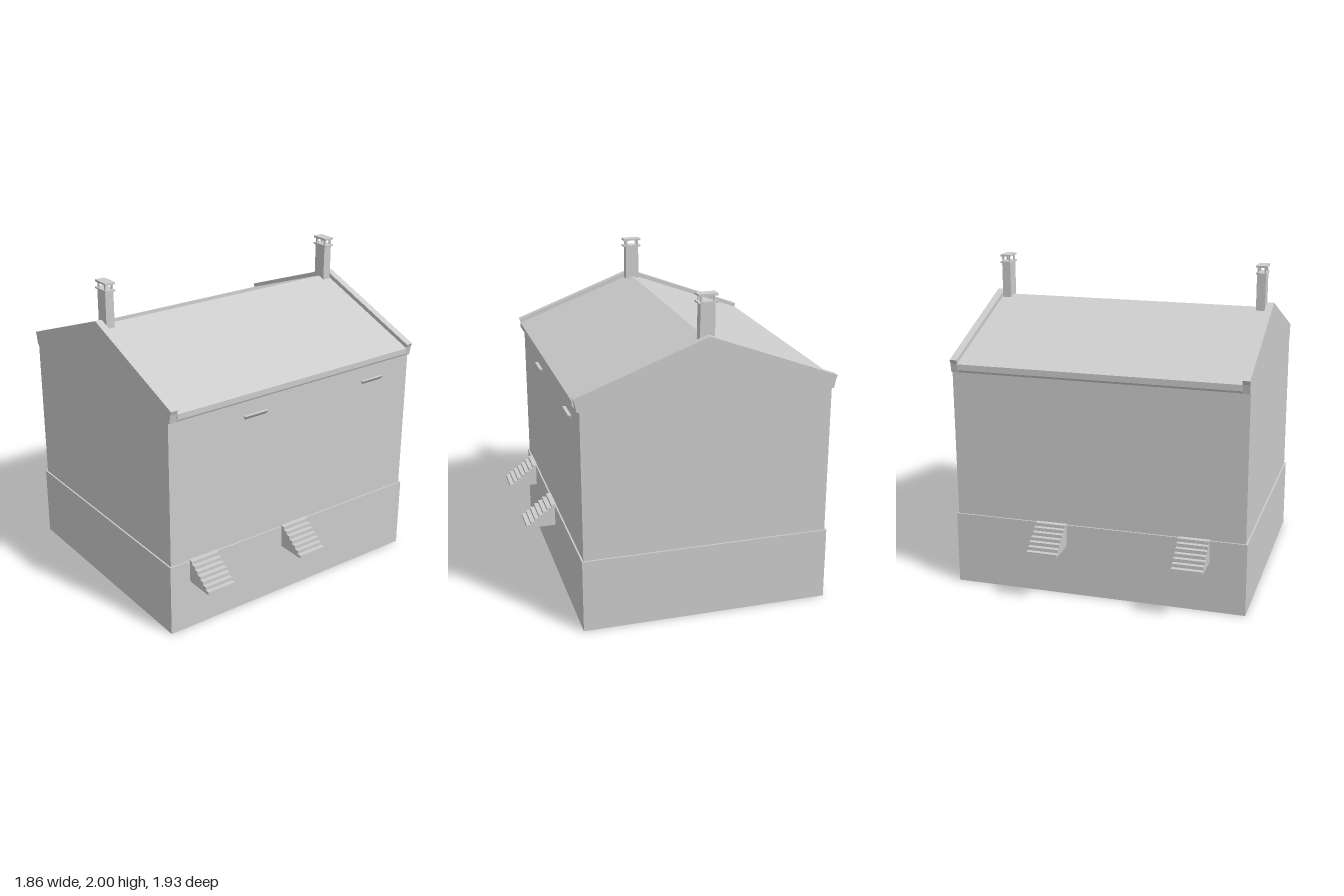
import * as THREE from 'three';

export function createModel() {
  const root = new THREE.Group();
  const stone = new THREE.MeshStandardMaterial({ color: 0xcccccc, side: THREE.DoubleSide });
  stone.name = 'pale grey stone';

  const add = (geometry, name, parent = root) => {
    const mesh = new THREE.Mesh(geometry, stone);
    mesh.name = name;
    parent.add(mesh);
    return mesh;
  };
  const box = (w, h, d, x, y, z, name, parent) =>
    add(new THREE.BoxGeometry(w, h, d).translate(x, y, z), name, parent);

  // Extrudes a (z, y) profile along x, from x0 to x1
  const alongX = (points, x0, x1) => {
    const shape = new THREE.Shape(points.map(([z, y]) => new THREE.Vector2(-z, y)));
    return new THREE.ExtrudeGeometry(shape, { depth: x1 - x0, bevelEnabled: false })
      .rotateY(Math.PI / 2).translate(x0, 0, 0);
  };
  // Completes a half profile by mirroring it front to back
  const symmetric = (half, apex) =>
    [...half, [0, apex], ...half.slice().reverse().map(([z, y]) => [-z, y])];

  // Plinth: thin open-bottomed ring of walls
  const rect = (C, w, d) => new C([[-w, -d], [w, -d], [w, d], [-w, d]]
    .map(([x, y]) => new THREE.Vector2(x, y)));
  const ring = rect(THREE.Shape, 0.93, 0.775);
  ring.holes.push(rect(THREE.Path, 0.92, 0.765));
  add(new THREE.ExtrudeGeometry(ring, { depth: 0.46, bevelEnabled: false })
    .rotateX(-Math.PI / 2), 'plinth');

  // Main walls with stepped cornice and pitched roof
  const body = [[0.765, 0.46], [0.765, 1.385], [0.775, 1.385], [0.782, 1.4],
    [0.787, 1.4], [0.787, 1.408], [0.797, 1.408], [0.797, 1.44]];
  add(alongX(symmetric(body, 1.735), -0.875, 0.875), 'wallsAndRoof');

  // Gable walls rising above the roof, with flared kneelers
  const gable = [[0.765, 0.46], [0.765, 1.385], [0.78, 1.385], [0.79, 1.44], [0.8, 1.465]];
  for (const x of [-0.92, 0.875]) {
    add(alongX(symmetric(gable, 1.765), x, x + 0.045), 'gableWall');
  }

  // Chimneys with open caps on four posts
  for (const side of [-1, 1]) {
    const chimney = new THREE.Group();
    chimney.name = 'chimney';
    chimney.position.x = side * 0.842;
    root.add(chimney);
    box(0.056, 0.23, 0.09, 0, 1.832, 0, 'chimneyStack', chimney);
    box(0.066, 0.01, 0.12, 0, 1.95, 0, 'chimneyLedge', chimney);
    box(0.066, 0.012, 0.12, 0, 1.994, 0, 'chimneyCap', chimney);
    for (const px of [-0.022, 0.022]) {
      for (const pz of [-0.038, 0.038]) {
        box(0.01, 0.036, 0.012, px, 1.971, pz, 'chimneyPost', chimney);
      }
    }
  }

  // Stairs: a seven-step profile reused at the front and back
  const steps = 7, foot = 0.32, rise = 0.145 / steps, run = 0.195 / steps;
  const profile = [[0.76, foot], [0.965, foot]];
  for (let i = 0; i < steps; i++) {
    const y = foot + (i + 1) * rise;
    profile.push([0.965 - i * run, y], [0.965 - (i + 1) * run, y]);
  }
  profile.push([0.76, foot + steps * rise]);
  const stairs = (x, dir) =>
    add(alongX(profile.map(([z, y]) => [z * dir, y]), x - 0.096, x + 0.096),
      dir > 0 ? 'frontStairs' : 'backStairs');
  stairs(-0.695, 1);
  stairs(0, 1);
  stairs(-0.607, -1);
  stairs(0.295, -1);

  // Small ledges under the front eaves, tapering downwards
  for (const x of [-0.31, 0.61]) {
    const ledge = new THREE.BoxGeometry(0.17, 0.024, 0.025).translate(x, 1.28, 0.773);
    const p = ledge.attributes.position;
    for (let i = 0; i < p.count; i++) {
      if (p.getY(i) < 1.28) {
        p.setX(i, x + (p.getX(i) - x) * 0.9);
        if (p.getZ(i) > 0.77) p.setZ(i, 0.768);
      }
    }
    const flat = ledge.toNonIndexed();
    flat.computeVertexNormals();
    add(flat, 'wallLedge');
  }

  return root;
}
